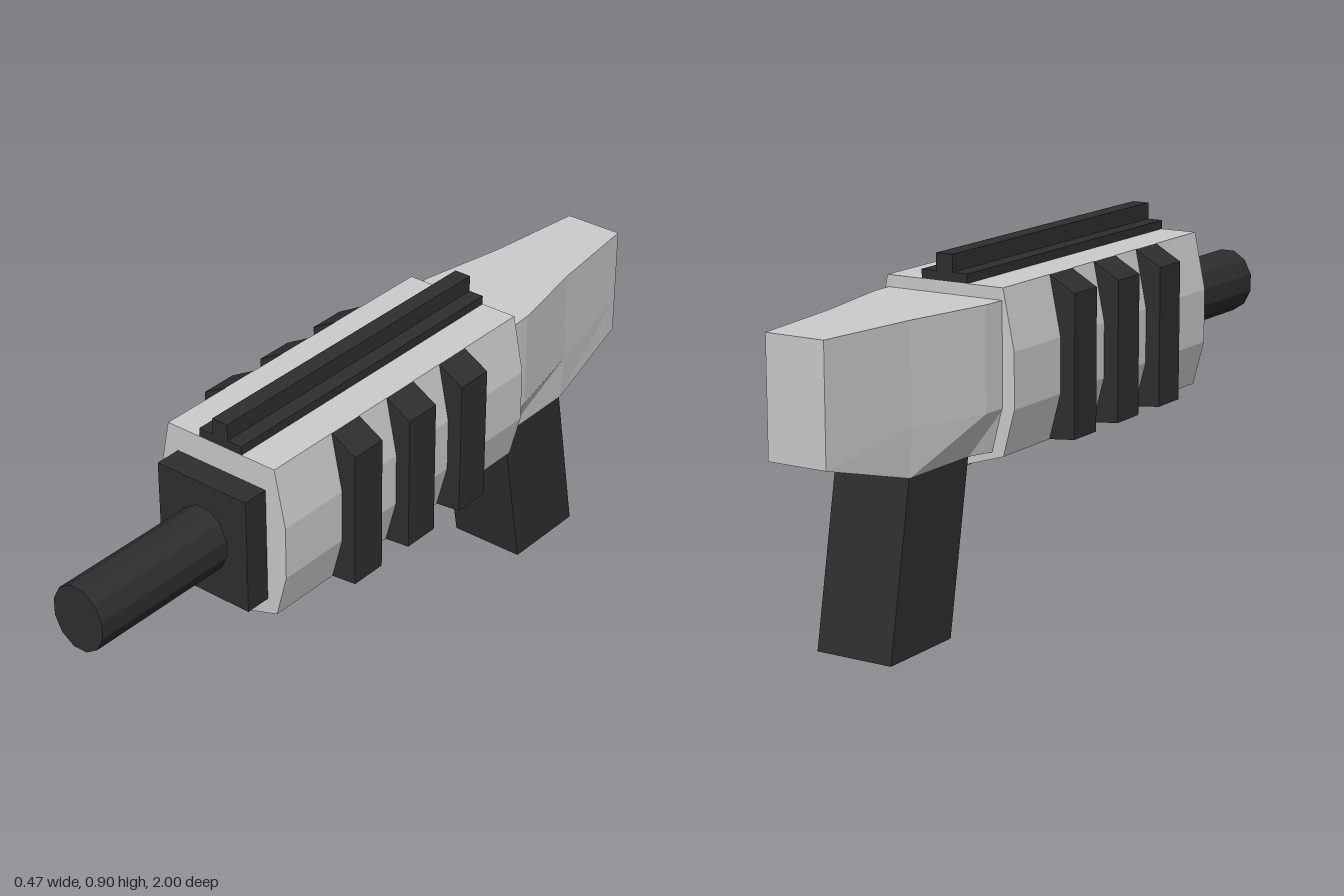
import * as THREE from 'three';

const grey = new THREE.MeshStandardMaterial({ color: 0xcccccc, flatShading: true });
const dark = new THREE.MeshStandardMaterial({ color: 0x2e2e2e, flatShading: true });

// Half outline (bottom to top on +x) closed by its mirror image, counter-clockwise
const mirrored = (half) => [...half, ...half.map(([x, y]) => [-x, y]).reverse()];

// Outline in x/y extruded from z0 to z1
function prism(points, z0, z1) {
  const shape = new THREE.Shape(points.map(([x, y]) => new THREE.Vector2(x, y)));
  return new THREE.ExtrudeGeometry(shape, { depth: z1 - z0, bevelEnabled: false }).translate(0, 0, z0);
}

function box(x0, x1, y0, y1, z0, z1) {
  return new THREE.BoxGeometry(x1 - x0, y1 - y0, z1 - z0)
    .translate((x0 + x1) / 2, (y0 + y1) / 2, (z0 + z1) / 2);
}

// Faceted skin over rings listed from front to back, capped at both ends
function loft(rings) {
  const out = [];
  const tri = (a, b, c) => out.push(...a, ...b, ...c);
  const n = rings[0].length;
  for (let r = 0; r < rings.length - 1; r++) {
    const a = rings[r], b = rings[r + 1];
    for (let i = 0; i < n; i++) {
      const j = (i + 1) % n;
      tri(a[i], b[i], b[j]);
      tri(a[i], b[j], a[j]);
    }
  }
  const first = rings[0], last = rings[rings.length - 1];
  for (let i = 1; i < n - 1; i++) {
    tri(first[0], first[i], first[i + 1]);
    tri(last[0], last[i + 1], last[i]);
  }
  const g = new THREE.BufferGeometry();
  g.setAttribute('position', new THREE.Float32BufferAttribute(out, 3));
  g.computeVertexNormals();
  return g;
}

export function createModel() {
  const model = new THREE.Group();
  model.name = 'blaster';
  const add = (name, geometry, material) => {
    const mesh = new THREE.Mesh(geometry, material);
    mesh.name = name;
    model.add(mesh);
  };
  const front = 0.51, back = -0.415;

  // Receiver with chamfered underside and a dark bottom strip
  const half = [[0.066, 0.392], [0.165, 0.423], [0.196, 0.54], [0.196, 0.68], [0.165, 0.83]];
  add('body', prism(mirrored(half), back, front), grey);
  add('bottomStrip', box(-0.066, 0.066, 0.39, 0.393, back, front), dark);

  // Stepped rail on top
  add('railBase', box(-0.065, 0.065, 0.825, 0.853, back, front), dark);
  add('railTop', box(-0.023, 0.023, 0.85, 0.896, back, front), dark);

  // Three ribs on each side
  const rib = [[0.165, 0.423], [0.236, 0.43], [0.236, 0.79], [0.165, 0.83]];
  for (const z of [0.253, 0.047, -0.158]) {
    add('leftRib', prism(rib, z - 0.051, z + 0.051), dark);
    add('rightRib', prism(rib.map(([x, y]) => [-x, y]), z - 0.051, z + 0.051), dark);
  }

  // Muzzle plate and twelve-sided barrel
  add('muzzlePlate', box(-0.137, 0.137, 0.456, 0.763, 0.5, 0.58), dark);
  const barrel = new THREE.CylinderGeometry(0.088, 0.088, 0.43, 12)
    .rotateY(Math.PI / 12).rotateX(Math.PI / 2).scale(0.88, 1, 1).translate(0, 0.609, 0.785);
  add('barrel', barrel, dark);

  // Tapering rear housing: z, then half outline from bottom to top
  const sections = [
    [-0.41, [[0.135, 0.43], [0.163, 0.54], [0.163, 0.8]]],
    [-0.48, [[0.11, 0.43], [0.16, 0.54], [0.16, 0.8]]],
    [-0.72, [[0.108, 0.43], [0.114, 0.55], [0.114, 0.8]]],
    [-1, [[0.08, 0.505], [0.08, 0.6], [0.08, 0.8]]],
  ];
  add('rearHousing', loft(sections.map(([z, h]) => mirrored(h).map(([x, y]) => [x, y, z]))), grey);

  // Raked grip, drawn in side profile (z, y)
  const grip = prism([[-0.8, 0], [-0.555, 0], [-0.475, 0.432], [-0.718, 0.432]], -0.105, 0.105)
    .rotateY(-Math.PI / 2);
  add('grip', grip, dark);

  return model;
}
